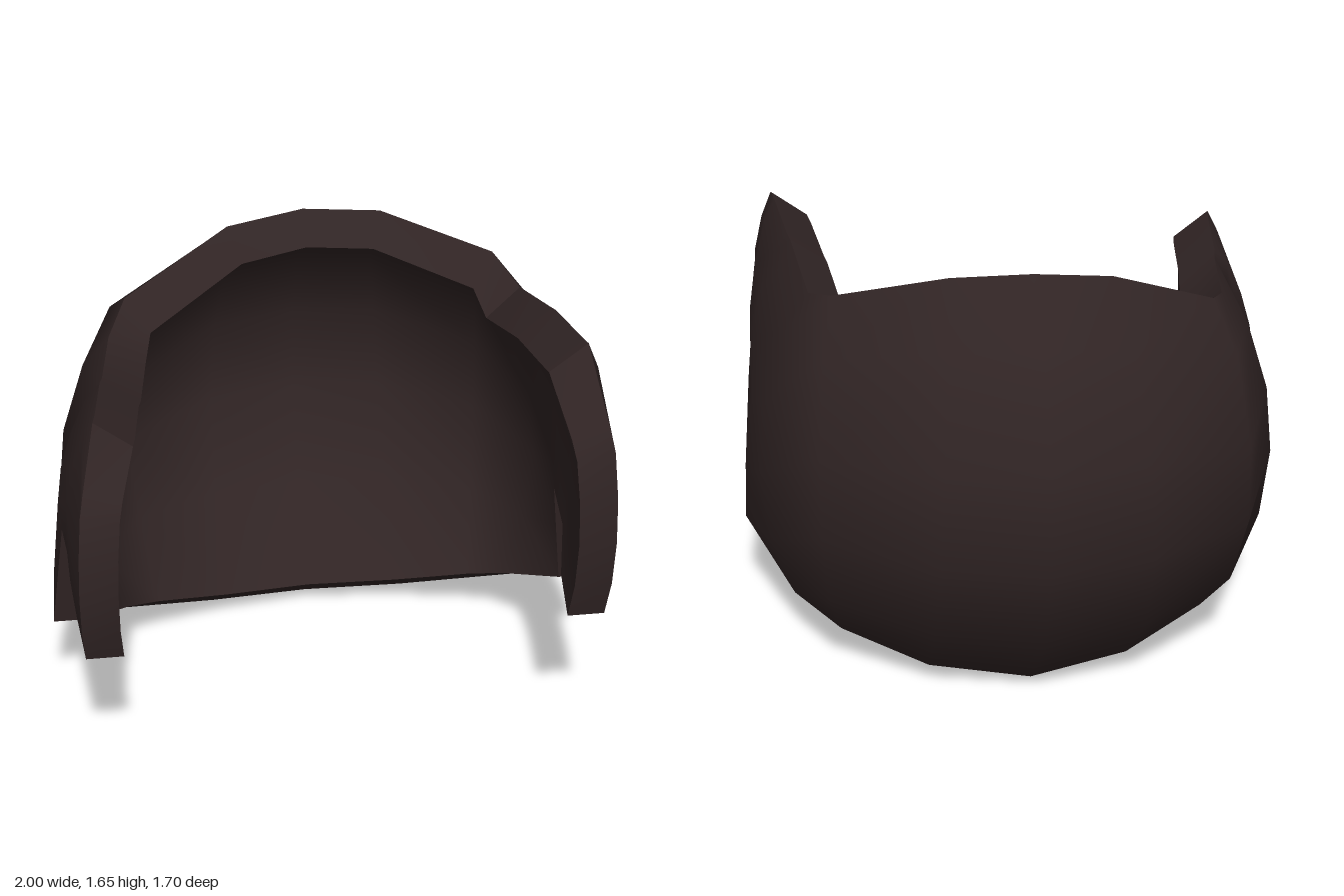
import * as THREE from 'three';
import { toCreasedNormals } from 'three/addons/utils/BufferGeometryUtils.js';

// Columns from the front tip of one side lock to the middle of the back.
// top / bottom: outer edge points; bulge: outward swell in x, z;
// inward: direction of thickness (degrees, 0 = +z, 90 = -x); drop: lower top edge on the right side.
const HALF = [
  { top: [0.88, 1.33, 0.785], bottom: [0.90, 0.60, 0.80], bulge: [0.02, 0.06], inward: 90, drop: 0.12 },
  { top: [0.83, 1.57, 0.62], bottom: [0.92, 0.64, 0.60], bulge: [0.05, 0], inward: 90, drop: 0.18 },
  { top: [0.82, 1.565, 0.56], bottom: [0.93, 0.81, 0.54], bulge: [0.05, 0], inward: 90, drop: 0.18 },
  { top: [0.79, 1.54, 0.31], bottom: [0.95, 0.82, 0.31], bulge: [0.06, 0], inward: 90, drop: 0.17 },
  { top: [0.78, 1.53, 0.26], bottom: [1.00, 0.40, 0.26], bulge: [0.05, 0], inward: 90, drop: 0.17 },
  { top: [0.74, 1.46, -0.04], bottom: [0.84, 0.23, -0.04], bulge: [0.15, -0.03], inward: 75, drop: 0.10 },
  { top: [0.67, 1.525, -0.21], bottom: [0.68, 0.14, -0.17], bulge: [0.08, -0.35], inward: 40, drop: 0.10 },
  { top: [0.28, 1.64, -0.37], bottom: [0.37, 0.04, -0.31], bulge: [0.04, -0.45], inward: 18, drop: 0.03 },
  { top: [0, 1.65, -0.40], bottom: [0, 0, -0.38], bulge: [0, -0.46], inward: 0, drop: 0 },
];
const HEIGHT = [1, 0.9, 0.67, 0.44, 0.2, 0];      // fraction up each column
const SWELL = [0, 0.58, 0.97, 1, 0.66, 0];        // share of the bulge there
const THICK = 0.13;

// One column of outer and inner points; side is +1 (left) or -1 (right).
function makeColumn(c, side) {
  const top = new THREE.Vector3(...c.top), bottom = new THREE.Vector3(...c.bottom);
  if (side < 0) {
    top.y -= c.drop;
    bottom.y -= 0.03 * bottom.x;
  }
  const angle = THREE.MathUtils.degToRad(c.inward);
  const lip = c === HALF[0] ? 0.03 : 0.1;
  const outer = [], inner = [];
  HEIGHT.forEach((h, i) => {
    const p = bottom.clone().lerp(top, h);
    p.x += c.bulge[0] * SWELL[i];
    p.z += c.bulge[1] * SWELL[i];
    const q = p.clone();
    q.x -= Math.sin(angle) * THICK;
    q.z += Math.cos(angle) * THICK * 0.9;
    // the inside lip sits lower at the top and higher at the bottom of the back
    q.y += h > 0.5 ? -lip * (h - 0.5) * 2 : lip * Math.cos(angle) * (0.5 - h) * 2;
    p.x *= side;
    q.x *= side;
    outer.push(p);
    inner.push(q);
  });
  return { outer, inner };
}

// Surface through columns of points.
function skin(columns, flip = false) {
  const rows = columns[0].length, index = [];
  for (let j = 0; j < columns.length - 1; j++) {
    for (let i = 0; i < rows - 1; i++) {
      const a = j * rows + i, b = a + 1, c = a + rows, d = c + 1;
      if (flip) index.push(a, c, b, b, c, d);
      else index.push(a, b, c, b, d, c);
    }
  }
  const geometry = new THREE.BufferGeometry().setFromPoints(columns.flat());
  geometry.setIndex(index);
  geometry.computeVertexNormals();
  return geometry;
}

// Closed loop around the border of a set of columns.
function border(columns) {
  const last = HEIGHT.length - 1, first = columns[0], end = columns[columns.length - 1];
  return [
    ...columns.map((c) => c[0]),
    ...end.slice(1, last),
    ...columns.map((c) => c[last]).reverse(),
    ...first.slice(0, last).reverse(),
  ];
}

export function createModel() {
  const group = new THREE.Group();
  group.name = 'hair';
  const darkBrown = new THREE.MeshStandardMaterial({ color: 0x302424 });
  darkBrown.name = 'darkBrown';

  const columns = [
    ...HALF.map((c) => makeColumn(c, 1)),
    ...HALF.slice(0, -1).reverse().map((c) => makeColumn(c, -1)),
  ];
  const outer = columns.map((c) => c.outer), inner = columns.map((c) => c.inner);

  const add = (name, geometry) => {
    const mesh = new THREE.Mesh(geometry, darkBrown);
    mesh.name = name;
    group.add(mesh);
  };
  add('outerHair', skin(outer));
  add('innerHair', skin(inner, true));
  // thick edge joining outside and inside, all the way round
  add('hairEdge', toCreasedNormals(skin([border(outer), border(inner)]), 0.6));
  return group;
}
